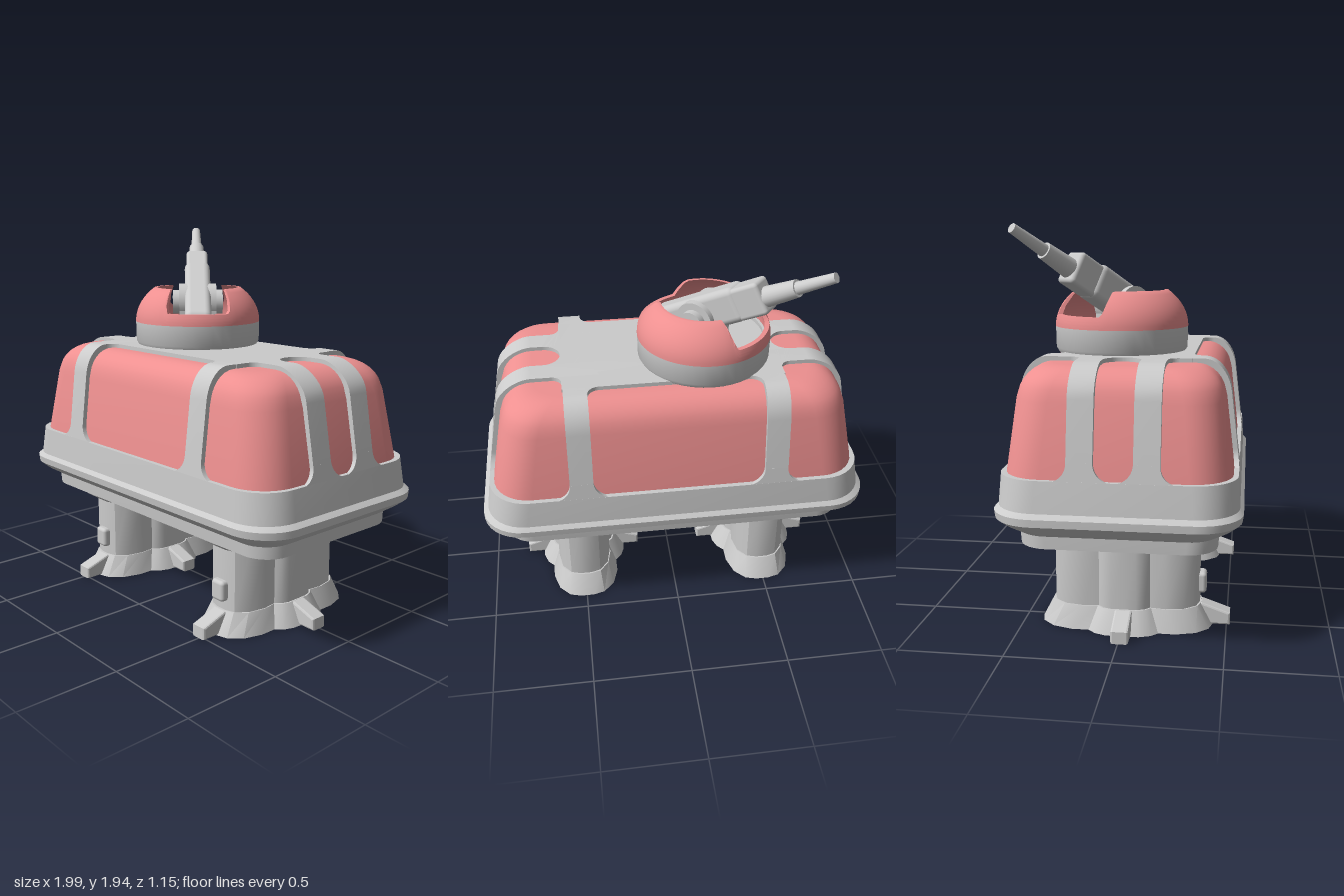
import * as THREE from 'three';
import { toCreasedNormals } from 'three/addons/utils/BufferGeometryUtils.js';
import { RoundedBoxGeometry } from 'three/addons/geometries/RoundedBoxGeometry.js';

const grey = new THREE.MeshStandardMaterial({ color: 0xcccccc });
const pink = new THREE.MeshStandardMaterial({ color: 0xee9090 });
const pinkThin = new THREE.MeshStandardMaterial({ color: 0xee9090, side: THREE.DoubleSide });

function add(parent, name, geo, mat = grey, x = 0, y = 0, z = 0) {
  const m = new THREE.Mesh(geo, mat);
  m.name = name;
  m.position.set(x, y, z);
  parent.add(m);
  return m;
}

function addGroup(parent, name, x = 0, y = 0, z = 0) {
  const g = new THREE.Group();
  g.name = name;
  g.position.set(x, y, z);
  parent.add(g);
  return g;
}

// Skin stacked rings of [x, y, z] points (running from +x to +z) and close both ends
function loft(rings, crease = 0.6) {
  const n = rings[0].length, pos = rings.flat(2), idx = [];
  for (let i = 0; i < rings.length - 1; i++) {
    for (let j = 0; j < n; j++) {
      const a = i * n + j, b = i * n + (j + 1) % n;
      idx.push(a, a + n, b, b, a + n, b + n);
    }
  }
  const last = (rings.length - 1) * n, c = rings.length * n;
  pos.push(0, rings[0][0][1], 0, 0, rings.at(-1)[0][1], 0);
  for (let j = 0; j < n; j++) {
    const k = (j + 1) % n;
    idx.push(c, j, k, c + 1, last + k, last + j);
  }
  const g = new THREE.BufferGeometry();
  g.setAttribute('position', new THREE.Float32BufferAttribute(pos, 3));
  g.setIndex(idx);
  return toCreasedNormals(g, crease);
}

// Rounded rectangle ring: height, half width, half depth, corner radius
function roundRect([y, hx, hz, r]) {
  const pts = [];
  [[1, 1], [-1, 1], [-1, -1], [1, -1]].forEach(([sx, sz], q) => {
    for (let i = 0; i <= 8; i++) {
      const a = (q + i / 8) * Math.PI / 2;
      pts.push([sx * (hx - r) + r * Math.cos(a), y, sz * (hz - r) + r * Math.sin(a)]);
    }
  });
  return pts;
}

// Raised rib: arch profile across the hull, half width h
function ribGeometry(h, base, shoulder, top) {
  const s = new THREE.Shape();
  s.moveTo(-base, 0.81);
  s.lineTo(-shoulder, 1.17);
  s.bezierCurveTo(-shoulder + 0.012, 1.26, -top - 0.06, 1.32, -top, 1.32);
  s.lineTo(top, 1.32);
  s.bezierCurveTo(top + 0.06, 1.32, shoulder - 0.012, 1.26, shoulder, 1.17);
  s.lineTo(base, 0.81);
  const g = new THREE.ExtrudeGeometry(s, { depth: 2 * h, bevelEnabled: false, curveSegments: 10 });
  return toCreasedNormals(g.translate(0, 0, -h), 0.5);
}

// Rib foot with a concave fillet on each side
function flareGeometry(w, left, right) {
  const s = new THREE.Shape();
  s.moveTo(-w - left, 0);
  s.absarc(-w - left, left, left, -Math.PI / 2, 0, false);
  s.lineTo(w, right);
  s.absarc(w + right, right, right, Math.PI, Math.PI * 1.5, false);
  return new THREE.ExtrudeGeometry(s, { depth: 0.03, bevelEnabled: false }).translate(0, 0, -0.03);
}

function buildHull(root) {
  const hull = addGroup(root, 'hull');
  add(hull, 'lowerHull', loft([
    [0.48, 0.89, 0.46, 0.14], [0.54, 0.89, 0.465, 0.14], [0.58, 0.95, 0.53, 0.18],
    [0.615, 0.995, 0.57, 0.21], [0.65, 0.995, 0.575, 0.21], [0.67, 0.97, 0.557, 0.2],
    [0.815, 0.948, 0.548, 0.2]].map(roundRect)));

  // Inset panels, with a rounded shoulder
  const levels = [[0.8, 0.928, 0.526, 0.19], [1.15, 0.862, 0.484, 0.18]];
  for (let i = 1; i <= 8; i++) {
    const a = i / 8 * Math.PI / 2, d = 0.14 * (1 - Math.cos(a));
    levels.push([1.15 + 0.15 * Math.sin(a), 0.855 - d * 1.15, 0.48 - d, 0.18 - d * 0.3]);
  }
  add(hull, 'panels', loft(levels.map(roundRect)), pink);
  add(hull, 'topPlate', new THREE.BoxGeometry(1.1, 0.06, 0.64), grey, 0, 1.29, 0);

  // Ribs over the hull, two each way
  for (const s of [-1, 1]) {
    add(hull, 'crossRib', ribGeometry(0.058, 0.548, 0.505, 0.375), grey, s * 0.488).rotation.y = Math.PI / 2;
    add(hull, 'longRib', ribGeometry(0.06, 0.948, 0.884, 0.7), grey, 0, 0, s * 0.15);
  }

  // Fillets where ribs meet the lower hull and the top plate
  const sides = [
    { a: 0, u: 0.488, w: 0.058, wall: 0.548, tilt: 0.119, plate: 0.32, r: [0.09, 0.08], t: [0.06, 0.001] },
    { a: Math.PI / 2, u: 0.15, w: 0.06, wall: 0.948, tilt: 0.176, plate: 0.55, r: [0.089, 0.08], t: [0.089, 0.05] }];
  for (const d of sides) for (const turn of [0, Math.PI]) {
    const side = addGroup(hull, 'ribFillets');
    side.rotation.y = d.a + turn;
    for (const s of [-1, 1]) {
      const order = (p) => (s > 0 ? p : [p[1], p[0]]);
      const [l, r] = order(d.r), [tl, tr] = order(d.t);
      const low = add(side, 'lowerFillet', flareGeometry(d.w, l, r), grey, s * d.u, 0.812, d.wall);
      low.rotation.x = -d.tilt;
      const up = add(side, 'upperFillet', flareGeometry(d.w, tr, tl), grey, s * d.u, 1.32, d.plate);
      up.rotation.set(-Math.PI / 2, 0, Math.PI);
    }
  }
}

// Lobed leg with a flared collar, skirt, three toes and a hatch
function buildLeg(root, x) {
  const leg = addGroup(root, 'leg', x, 0, 0.007);
  const q = [[0.17, 0], [0.17, 0.06], [0.157, 0.1], [0.132, 0.125], [0.142, 0.2], [0.125, 0.29], [0.08, 0.345], [0.03, 0.36]];
  const flip = (p, sx, sz) => p.map(([a, b]) => [sx * a, sz * b]);
  const back = [...q].reverse();
  const outline = [...q, ...flip(back, -1, 1), ...flip(q.slice(1), -1, -1), ...flip(back.slice(0, -1), 1, -1)];
  const ring = (y, out) => outline.map(([a, b]) => {
    const k = 1 + out / Math.hypot(a, b);
    return [a * k, y, b * k];
  });
  add(leg, 'column', loft([ring(0.1, 0), ring(0.42, 0), ring(0.47, 0.08), ring(0.49, 0.09)], 0.5));
  add(leg, 'footSkirt', loft([ring(0, 0.065), ring(0.11, 0.008)], 0.5));

  const s = new THREE.Shape([[0.08, 0], [0.31, 0], [0.31, 0.05], [0.18, 0.1], [0.08, 0.1]].map((p) => new THREE.Vector2(...p)));
  const toe = new THREE.ExtrudeGeometry(s, { depth: 0.066, bevelThickness: 0.01, bevelSize: 0.01, bevelSegments: 2 }).translate(0, 0, -0.033);
  for (const [a, z] of [[0, 0], [Math.PI, 0], [-Math.PI / 2, 0.19]]) {
    const t = add(leg, 'toe', toe, grey, 0, 0.01, z);
    t.scale.y = 0.9;
    t.rotation.y = a;
  }
  add(leg, 'hatch', new RoundedBoxGeometry(0.085, 0.105, 0.06, 3, 0.018), grey, 0, 0.21, 0.363);
}

function buildTurret(root) {
  const turret = addGroup(root, 'turret', -0.18, 0, -0.065);
  const heading = Math.atan2(-0.64, -0.768);
  const ring = [[0, 1.31], [0.32, 1.31], [0.335, 1.335], [0.337, 1.44], [0.3, 1.44], [0.3, 1.42], [0, 1.42]];
  add(turret, 'turretRing', toCreasedNormals(new THREE.LatheGeometry(ring.map((p) => new THREE.Vector2(...p)), 40), 0.6));

  // Domed shell, outside then inside, its rim dipping fore and aft of the gun
  const pts = [];
  for (let i = 0; i <= 10; i++) pts.push(new THREE.Vector2(1, i / 10));
  for (let i = 10; i >= 0; i--) pts.push(new THREE.Vector2(0.93, i / 10));
  const dome = new THREE.LatheGeometry(pts, 120), p = dome.attributes.position;
  for (let i = 0; i < p.count; i++) {
    const a = Math.atan2(p.getZ(i), p.getX(i)), k = Math.hypot(p.getX(i), p.getZ(i));
    const off = Math.acos(Math.min(1, Math.abs(Math.cos(a - heading))));
    const rim = 1.5 + 0.12 * THREE.MathUtils.smoothstep(off, 0.5, 0.66);
    const y = 1.44 + (rim - 1.44) * p.getY(i);
    const r = k * 0.337 * Math.sqrt(1 - ((y - 1.44) / 0.25) ** 2);
    p.setXYZ(i, r * Math.cos(a), y, r * Math.sin(a));
  }
  add(turret, 'dome', toCreasedNormals(dome, 0.7), pinkThin);

  // Gun, pointing along its own +z
  const mount = addGroup(turret, 'gunMount', 0, 1.54, 0);
  mount.rotation.y = Math.atan2(-0.768, -0.64);
  add(mount, 'pedestal', new THREE.BoxGeometry(0.2, 0.14, 0.18), grey, 0, -0.06, 0);
  const gun = addGroup(mount, 'gun');
  gun.rotation.x = -0.513;
  add(gun, 'gunBody', new RoundedBoxGeometry(0.14, 0.18, 0.53, 4, 0.035), grey, 0, 0.015, -0.01);
  add(gun, 'barrelBlock', new RoundedBoxGeometry(0.12, 0.165, 0.17, 3, 0.02), grey, 0, 0.01, 0.305);
  const rod = (name, r0, r1, z0, z1) => {
    const g = new THREE.CylinderGeometry(r1, r0, z1 - z0, 24).rotateX(Math.PI / 2);
    add(gun, name, g, grey, 0, 0, (z0 + z1) / 2);
  };
  rod('barrelSleeve', 0.052, 0.042, 0.36, 0.56);
  rod('barrel', 0.032, 0.024, 0.54, 0.763);
  for (const [r, len] of [[0.1, 0.2], [0.065, 0.27]]) {
    add(gun, 'trunnion', new THREE.CylinderGeometry(r, r, len, 28).rotateZ(Math.PI / 2));
  }
}

export function createModel() {
  const root = new THREE.Group();
  root.name = 'walkerTurret';
  buildHull(root);
  for (const s of [-1, 1]) buildLeg(root, s * 0.497);
  buildTurret(root);
  return root;
}
